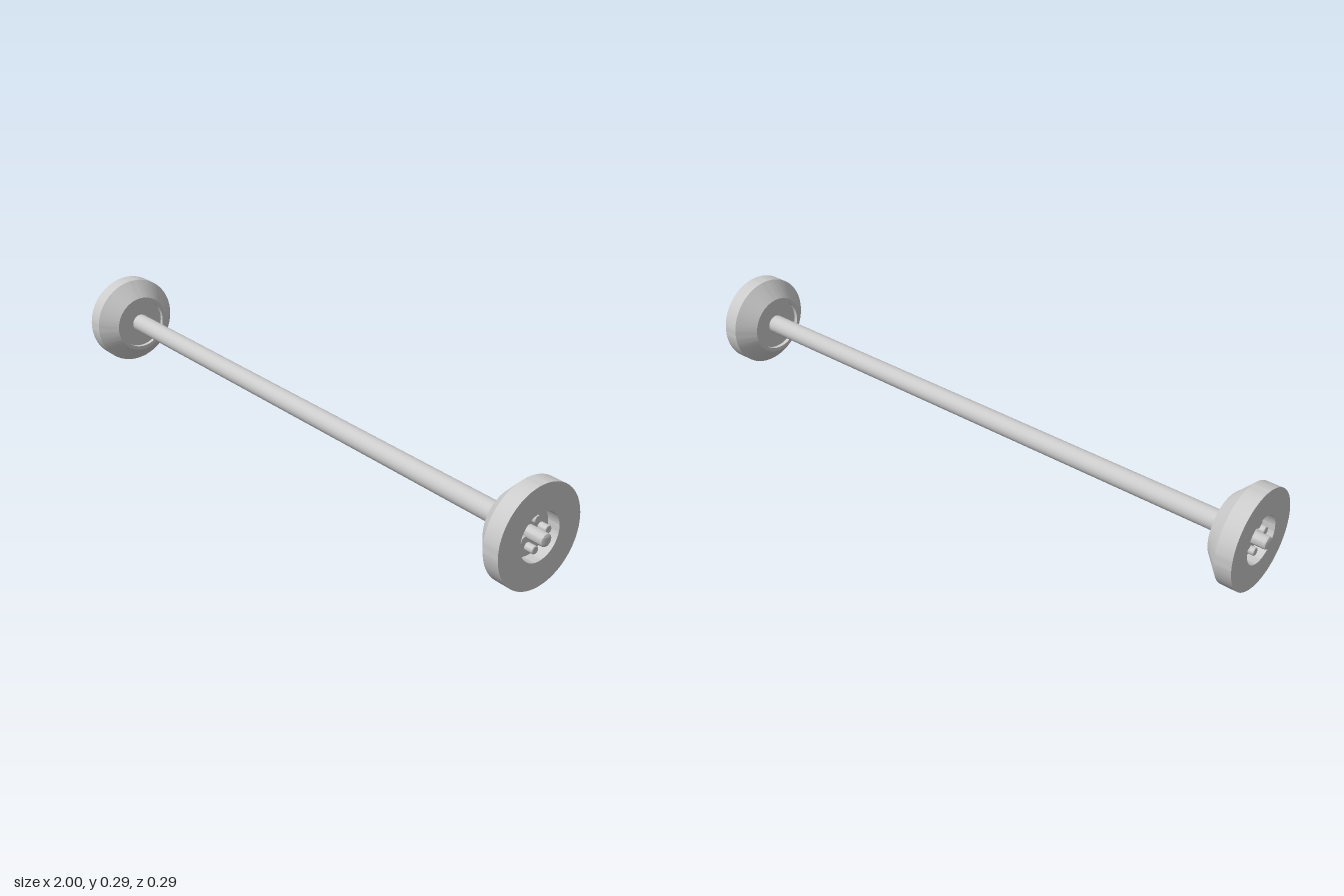
import * as THREE from 'three';
import { toCreasedNormals } from 'three/addons/utils/BufferGeometryUtils.js';

const R = 0.146; // wheel radius, also the axle height
const material = new THREE.MeshStandardMaterial({ color: 0xcccccc });

// Solid of revolution about y with crisp corners; profile is [radius, height]
function turned(name, profile, segments = 64) {
  const points = profile.map(([r, y]) => new THREE.Vector2(r, y));
  const geometry = toCreasedNormals(new THREE.LatheGeometry(points, segments), 0.5);
  const mesh = new THREE.Mesh(geometry, material);
  mesh.name = name;
  return mesh;
}

// Wheel assembly along +y, with y measured from the middle of the axle
function makeWheel(name) {
  const wheel = new THREE.Group();
  wheel.name = name;

  // Tapered body with a shallow inner recess and a deeper outer one
  wheel.add(turned('wheelBody', [
    [0, 0.888], [0.083, 0.888], [0.083, 0.875], [0.095, 0.875],
    [R, 0.925], [R, 0.975], [0.07, 0.975], [0.07, 0.938], [0, 0.938],
  ], 96));

  // Domed axle stub
  wheel.add(turned('axleStub', [
    [0.0185, 0.93], [0.0185, 0.992], [0.0172, 0.9955],
    [0.0135, 0.998], [0.007, 0.9995], [0, 1],
  ], 32));

  // Four lug bolts in the outer recess
  for (let i = 0; i < 4; i++) {
    const angle = i * Math.PI / 2;
    const bolt = turned('lugBolt', [
      [0.0115, 0.93], [0.0115, 0.962], [0.01, 0.964], [0, 0.964],
    ], 24);
    bolt.position.set(0.043 * Math.cos(angle), 0, 0.043 * Math.sin(angle));
    wheel.add(bolt);
  }
  return wheel;
}

export function createModel() {
  const model = new THREE.Group();
  model.name = 'wheelAxle';

  // Long shaft between the wheels
  const shaft = new THREE.Mesh(new THREE.CylinderGeometry(0.03, 0.03, 1.79, 48), material);
  shaft.name = 'shaft';
  shaft.rotation.z = Math.PI / 2;
  shaft.position.y = R;
  model.add(shaft);

  // Matching wheels at both ends
  for (const side of [1, -1]) {
    const wheel = makeWheel(side > 0 ? 'leftWheel' : 'rightWheel');
    wheel.rotation.z = -side * Math.PI / 2;
    wheel.position.y = R;
    model.add(wheel);
  }
  return model;
}
